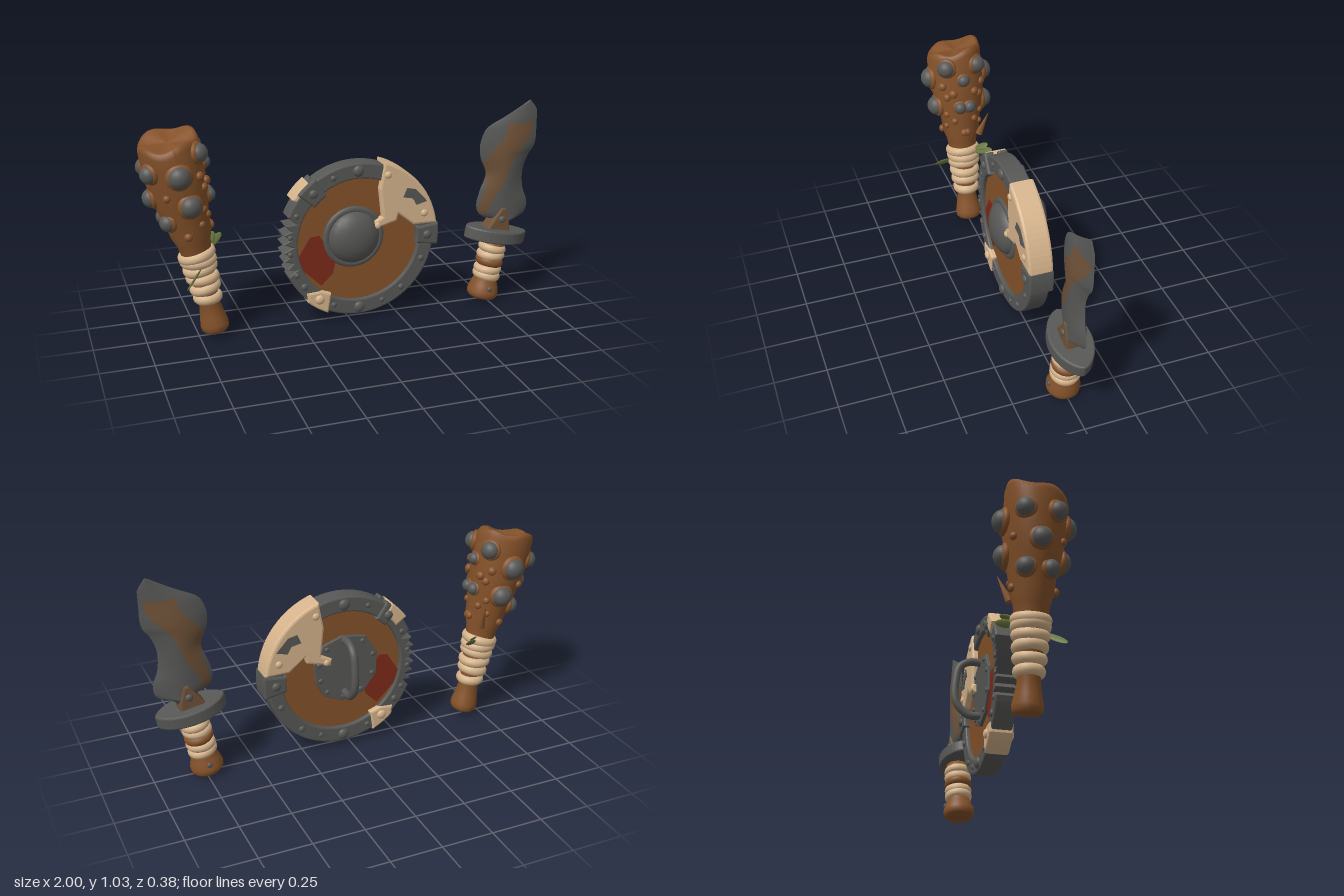
import * as THREE from 'three';

const mat = (name, color) => {
  const m = new THREE.MeshStandardMaterial({ color });
  m.name = name;
  return m;
};
const wood = mat('wood', 0x85522a), metal = mat('metal', 0x575856), cloth = mat('cream', 0xd6b48c);
const red = mat('redPaint', 0x7c2a18), rust = mat('rust', 0x6f5238), green = mat('leafGreen', 0x66743c);
green.side = THREE.DoubleSide;

const rad = THREE.MathUtils.degToRad;
const v2 = ([x, y]) => new THREE.Vector2(x, y);

function add(parent, name, geo, material, x = 0, y = 0, z = 0) {
  const m = new THREE.Mesh(geo, material);
  m.name = name;
  m.position.set(x, y, z);
  parent.add(m);
  return m;
}

// Flat shape extruded symmetrically about z, with a small bevel inside the outline
function slab(parent, name, pts, depth, material, z = 0, bevel = 0.01, hole = 0) {
  const s = new THREE.Shape(pts.map(v2));
  if (hole) s.holes.push(new THREE.Path().absarc(0, 0, hole, 0, Math.PI * 2, true));
  const geo = new THREE.ExtrudeGeometry(s, {
    depth: depth - 2 * bevel, bevelEnabled: bevel > 0, bevelSize: bevel, bevelThickness: bevel,
    bevelOffset: -bevel, bevelSegments: 2, curveSegments: 64,
  });
  geo.translate(0, 0, bevel - depth / 2);
  return add(parent, name, geo, material, 0, 0, z);
}

const arc = (r, a0, a1, n = 10) => Array.from({ length: n + 1 }, (_, i) => {
  const a = rad(a0 + (a1 - a0) * i / n);
  return [r * Math.cos(a), r * Math.sin(a)];
});

function dome(parent, name, r, material, x, y, z, depth = 0.6) {
  const m = add(parent, name, new THREE.SphereGeometry(r, 20, 14), material, x, y, z);
  m.scale.z = depth;
  return m;
}

// Rope-like wrap around a handle
function wrap(parent, y, r, tube, material, tilt) {
  const m = add(parent, 'gripWrap', new THREE.TorusGeometry(r, tube, 12, 36), material, 0, y, 0);
  m.rotation.set(Math.PI / 2, tilt, 0);
  m.scale.z = 1.2;
}

function makeClub() {
  const club = new THREE.Group();
  club.name = 'club';
  club.position.set(-0.665, 0.03, 0);
  club.rotation.z = rad(11.3);
  const profile = [[0, 0], [0.055, 0], [0.067, 0.015], [0.068, 0.04], [0.06, 0.08], [0.05, 0.14], [0.055, 0.2],
    [0.07, 0.4], [0.08, 0.47], [0.097, 0.52], [0.105, 0.6], [0.125, 0.68], [0.137, 0.78], [0.14, 0.88],
    [0.14, 0.95], [0.133, 0.975], [0.118, 0.978], [0.09, 0.965], [0, 0.96]];
  const geo = new THREE.LatheGeometry(profile.map(v2), 48);
  const p = geo.attributes.position;
  // Uneven carved surface and a slanted top
  for (let i = 0; i < p.count; i++) {
    const x = p.getX(i), y = p.getY(i), z = p.getZ(i), a = Math.atan2(x, z);
    const k = 1 + 0.03 * Math.sin(3 * a + y * 9);
    const top = THREE.MathUtils.smoothstep(y, 0.8, 0.96);
    p.setXYZ(i, x * k, y + top * (-0.16 * z + 0.01 * Math.sin(4 * a)), z * k);
  }
  geo.computeVertexNormals();
  add(club, 'clubBody', geo, wood);

  const radiusAt = y => {
    const i = profile.findIndex((q, j) => j > 1 && q[1] >= y);
    const [r0, y0] = profile[i - 1], [r1, y1] = profile[i];
    return r0 + (r1 - r0) * (y - y0) / (y1 - y0);
  };
  // Big metal studs in wooden collars: angle from the front, height, radius
  for (const [a, y, r] of [[0, 0.83, 0.052], [8, 0.68, 0.05], [55, 0.9, 0.044], [125, 0.9, 0.044], [180, 0.83, 0.052],
    [172, 0.68, 0.05], [-60, 0.86, 0.042], [-120, 0.86, 0.042], [-90, 0.73, 0.045], [-60, 0.61, 0.04],
    [-120, 0.61, 0.04], [90, 0.83, 0.03], [78, 0.68, 0.03], [102, 0.68, 0.03]]) {
    const g = new THREE.Group();
    g.name = 'stud';
    g.rotation.y = rad(a);
    const R = radiusAt(y);
    dome(g, 'studCollar', r * 1.22, wood, 0, y, R - 0.004, 0.45);
    dome(g, 'studDome', r, metal, 0, y, R + 0.004, 0.9);
    club.add(g);
  }
  // Small wooden knobs
  for (const [a, y, r] of [[42, 0.8, 0.022], [50, 0.74, 0.02], [40, 0.64, 0.018], [60, 0.6, 0.018], [30, 0.57, 0.016],
    [85, 0.53, 0.02], [-15, 0.53, 0.02], [-35, 0.74, 0.018], [65, 0.76, 0.022]]) {
    for (const b of [a, 180 - a]) {
      const g = new THREE.Group();
      g.name = 'knob';
      g.rotation.y = rad(b);
      dome(g, 'knobDome', r, wood, 0, y, radiusAt(y) + 0.002, 0.8);
      club.add(g);
    }
  }
  [[0.18, 0.05], [0.235, 0.056], [0.285, 0.06], [0.335, 0.064], [0.375, 0.068], [0.405, 0.07]].forEach(([y, r], i) =>
    wrap(club, y, r, 0.021, cloth, i % 2 ? 0.07 : -0.1));
  return club;
}

// Leaves tucked in the wrap, and a thorn
function makeTwigs() {
  const g = new THREE.Group();
  g.name = 'twigs';
  const Z = new THREE.Vector3(0, 1, 0);
  const point = (name, a, b, geoFor, material, flat) => {
    const A = new THREE.Vector3(...a), d = new THREE.Vector3(...b).sub(A);
    const m = add(g, name, geoFor(d.length()), material);
    m.position.copy(A).addScaledVector(d, 0.5);
    m.quaternion.setFromUnitVectors(Z, d.clone().normalize());
    m.scale.z = flat;
  };
  const leaf = L => new THREE.SphereGeometry(1, 12, 10).scale(0.02, L / 2, 0.02);
  point('leaf', [-0.73, 0.38, 0.06], [-0.82, 0.3, 0.135], leaf, green, 0.25);
  point('leaf', [-0.69, 0.43, -0.05], [-0.6, 0.475, -0.12], leaf, green, 0.25);
  point('leaf', [-0.68, 0.45, -0.05], [-0.64, 0.49, -0.11], leaf, green, 0.25);
  point('thorn', [-0.7, 0.53, -0.08], [-0.69, 0.66, -0.135], L => new THREE.ConeGeometry(0.02, L, 8), wood, 1);
  return g;
}

function makeShield() {
  const s = new THREE.Group();
  s.name = 'shield';
  s.position.set(0.045, 0.42, 0);
  const disc = add(s, 'shieldWood', new THREE.CylinderGeometry(0.325, 0.325, 0.06, 64), wood);
  disc.rotation.x = Math.PI / 2;

  // Rim with a jagged broken stretch on the right-hand side
  const teeth = Array.from({ length: 13 }, (_, i) => arc(i % 2 ? 0.388 : 0.337 + 0.008 * (i % 3), 160 + i * 3.4, 160, 1)[0]);
  slab(s, 'rim', [...arc(0.388, -157, 157, 72), ...teeth], 0.1, metal, 0, 0.008, 0.31);

  const sector = (name, a, half, r0, r1, depth, m, z = 0) =>
    slab(s, name, [...arc(r1, a - half, a + half, 6), ...arc(r0, a + half, a - half, 6)], depth, m, z);
  sector('sideClasp', -1, 8, 0.295, 0.412, 0.124, metal);
  sector('upperClasp', 132, 8, 0.295, 0.402, 0.05, metal, 0.038);
  sector('upperClaspBack', 131, 6, 0.3, 0.4, 0.05, metal, -0.035);
  sector('upperBand', 137, 8, 0.34, 0.407, 0.11, cloth, -0.008);
  slab(s, 'lowerPatch', [[-0.27, -0.245], ...arc(0.396, 228, 246, 5), [-0.145, -0.26], [-0.2, -0.24]], 0.116, cloth);

  // Bone guard hugging the rim, with a tongue toward the boss
  slab(s, 'boneGuard', [...arc(0.405, 7, 72, 16), [0.1, 0.25], [0.115, 0.11], [0.06, 0.08], [0.066, 0.045],
    [0.19, 0.08], [0.2, 0.115], [0.28, 0.05]], 0.122, cloth, 0, 0.012);
  for (const side of [1, -1]) {
    slab(s, 'boneStain', [[0.22, 0.2], [0.24, 0.245], [0.285, 0.235], [0.345, 0.17], [0.29, 0.155], [0.27, 0.19]],
      0.004, metal, side * 0.0625, 0);
    slab(s, 'redMark', [[-0.245, 0.035], [-0.2, 0.04], [-0.115, -0.09], [-0.13, -0.16], [-0.19, -0.22], [-0.3, -0.115], [-0.31, -0.07]],
      0.006, red, side * 0.0315, 0);
    // Rim rivets: angle, radius of rivet, material, height above the centre plane
    for (const [a, r, m, z] of [[91, 0.028, metal, 0.05], [66, 0.018, cloth, 0.061], [270, 0.028, metal, 0.05], [248, 0.014, metal, 0.05],
      [234, 0.024, cloth, 0.058], [217, 0.018, metal, 0.05], [309, 0.016, metal, 0.05], [290, 0.013, metal, 0.05],
      [338, 0.016, metal, 0.05], [-1, 0.022, metal, 0.062], [132, 0.022, metal, 0.062], [112, 0.014, metal, 0.05],
      [154, 0.014, metal, 0.05], [205, 0.014, metal, 0.05], [172, 0.013, metal, 0.05], [186, 0.013, metal, 0.05], [18, 0.018, cloth, 0.061]]) {
      const [x, y] = arc(0.35, a, a, 1)[0];
      dome(s, 'rivet', r, m, x, y, side * z);
    }
    dome(s, 'tongueRivet', 0.016, cloth, 0.09, 0.068, side * 0.061);
  }

  // Front boss
  dome(s, 'boss', 0.132, metal, -0.025, 0.015, 0.03, 0.53);
  const ring = add(s, 'bossRing', new THREE.TorusGeometry(0.138, 0.018, 12, 48), metal, -0.025, 0.015, 0.03);
  ring.scale.z = 0.7;

  // Back plate and handle
  const plate = [[0.17, 0.05], [0.12, 0.14], [0.02, 0.175], [-0.1, 0.155], [-0.165, 0.06], [-0.16, -0.06], [-0.09, -0.15], [0.02, -0.175], [0.12, -0.13], [0.16, -0.05]];
  slab(s, 'backPlate', plate.map(([x, y]) => [x - 0.02, y + 0.01]), 0.02, metal, -0.036, 0.004);
  plate.forEach(([x, y]) => dome(s, 'plateRivet', 0.013, metal, x * 0.85 - 0.02, y * 0.85 + 0.01, -0.046));
  const path = [[0.165, -0.03], [0.165, -0.1], [0.135, -0.145], [0.06, -0.165], [-0.04, -0.165], [-0.085, -0.14], [-0.115, -0.1], [-0.115, -0.03]];
  const curve = new THREE.CatmullRomCurve3(path.map(([y, z]) => new THREE.Vector3(-0.01, y, z)));
  add(s, 'shieldHandle', new THREE.TubeGeometry(curve, 48, 0.019, 12), metal);
  return s;
}

// Blade with a lens section; rows give left edge, height, right edge
function makeBlade() {
  const rows = [[0.76, 0.35, 0.85], [0.785, 0.41, 0.87], [0.775, 0.435, 0.925], [0.73, 0.45, 0.95], [0.695, 0.48, 0.965],
    [0.685, 0.52, 0.965], [0.7, 0.59, 0.94], [0.73, 0.68, 0.935], [0.7, 0.76, 0.962], [0.694, 0.8, 0.99], [0.695, 0.84, 1],
    [0.725, 0.91, 1], [0.82, 0.963, 1], [0.87, 0.99, 0.998], [0.957, 1.04, 0.962]];
  const curve = new THREE.CatmullRomCurve3(rows.map(r => new THREE.Vector3(...r)), false, 'centripetal');
  const NR = 110, NC = 24, pos = [], plain = [], stained = [];
  // Rust streak: centre and half-width along the height
  const isRust = (x, y) => {
    const c = 0.735 + 0.15 * THREE.MathUtils.smoothstep(y, 0.55, 0.95) + 0.02 * Math.sin(y * 23);
    const w = y < 0.47 || y > 0.93 ? 0 : 0.025 + 0.05 * THREE.MathUtils.smoothstep(y, 0.5, 0.8);
    return Math.abs(x - c) < w;
  };
  for (const side of [1, -1]) {
    const base = pos.length / 3;
    for (let i = 0; i <= NR; i++) {
      const { x: l, y, z: r } = curve.getPoint(i / NR);
      const thick = 0.036 * (1 - THREE.MathUtils.smoothstep(y, 0.78, 1.05) * 0.9);
      for (let j = 0; j <= NC; j++) {
        const u = 2 * j / NC - 1;
        pos.push((l + r) / 2 + u * (r - l) / 2, y, side * thick * (1 - Math.abs(u) ** 1.8));
      }
    }
    for (let i = 0; i < NR; i++) for (let j = 0; j < NC; j++) {
      const a = base + i * (NC + 1) + j, b = a + 1, c = a + NC + 1, d = c + 1;
      const list = isRust(pos[a * 3], pos[a * 3 + 1]) ? stained : plain;
      list.push(...(side > 0 ? [a, b, d, a, d, c] : [a, d, b, a, c, d]));
    }
  }
  const geo = new THREE.BufferGeometry();
  geo.setAttribute('position', new THREE.Float32BufferAttribute(pos, 3));
  geo.setIndex([...plain, ...stained]);
  geo.addGroup(0, plain.length, 0);
  geo.addGroup(plain.length, stained.length, 1);
  geo.computeVertexNormals();
  const m = new THREE.Mesh(geo, [metal, rust]);
  m.name = 'blade';
  return m;
}

function makeDagger() {
  const g = new THREE.Group();
  g.name = 'daggerHilt';
  g.position.set(0.735, 0.018, 0);
  g.rotation.z = rad(-10.5);
  add(g, 'grip', new THREE.LatheGeometry([[0, 0], [0.068, 0], [0.079, 0.014], [0.08, 0.035], [0.07, 0.07], [0.056, 0.105],
    [0.053, 0.14], [0.057, 0.2], [0.06, 0.32], [0, 0.32]].map(v2), 40), wood);
  [0.12, 0.155, 0.195, 0.232, 0.268].forEach((y, i) => wrap(g, y, 0.053, 0.019, i === 2 ? wood : cloth, i % 2 ? 0.08 : -0.08));
  // Lens-shaped crossguard
  const lens = Array.from({ length: 41 }, (_, i) => Math.PI * 2 * i / 41).map(a => [0.17 * Math.cos(a), 0.098 * Math.sign(Math.sin(a)) * Math.abs(Math.sin(a)) ** 1.3]);
  const guard = slab(g, 'crossguard', lens, 0.065, metal, 0, 0.008);
  guard.rotation.x = -Math.PI / 2;
  guard.position.y = 0.342;
  // Wedge clamp holding the blade
  slab(g, 'bladeClamp', [[-0.075, 0.36], [0.06, 0.36], [0.045, 0.42], [0.012, 0.49], [-0.012, 0.49], [-0.04, 0.43]], 0.086, rust);
  for (const side of [1, -1]) {
    dome(g, 'clampRivet', 0.018, metal, 0, 0.43, side * 0.043);
    dome(g, 'pommelRivet', 0.014, metal, 0, 0.06, side * 0.073);
  }
  return g;
}

export function createModel() {
  const model = new THREE.Group();
  model.name = 'weaponSet';
  model.add(makeClub(), makeTwigs(), makeShield(), makeBlade(), makeDagger());
  return model;
}
